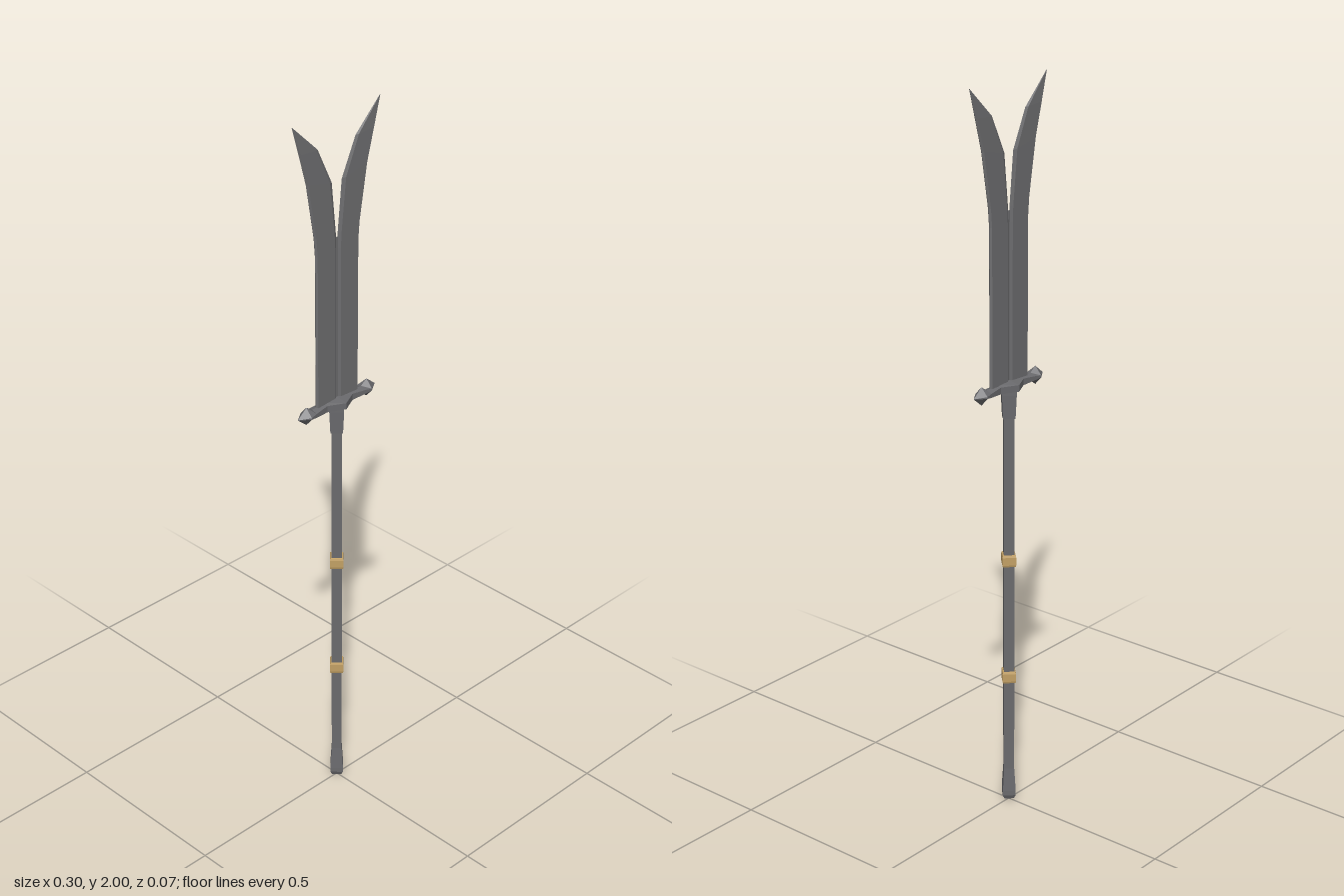
import * as THREE from 'three';

// Flat-shaded solid from rings of equal point count; ends are closed with fans.
function loft(rings) {
  const n = rings[0].length, pos = [];
  const tri = (a, b, c) => pos.push(...a, ...b, ...c);
  for (let i = 0; i < rings.length - 1; i++) {
    for (let j = 0; j < n; j++) {
      const k = (j + 1) % n;
      const a = rings[i][j], b = rings[i][k], c = rings[i + 1][k], d = rings[i + 1][j];
      tri(a, b, c);
      tri(a, c, d);
    }
  }
  const last = rings[rings.length - 1];
  for (let j = 1; j < n - 1; j++) {
    tri(rings[0][0], rings[0][j + 1], rings[0][j]);
    tri(last[0], last[j], last[j + 1]);
  }
  const g = new THREE.BufferGeometry();
  g.setAttribute('position', new THREE.Float32BufferAttribute(pos, 3));
  g.computeVertexNormals();
  return g;
}

export function createModel() {
  const steel = new THREE.MeshStandardMaterial({ color: 0x6e6e70 });
  steel.name = 'blade steel';
  const iron = new THREE.MeshStandardMaterial({ color: 0x6a6a6d });
  iron.name = 'dark iron';
  const brass = new THREE.MeshStandardMaterial({ color: 0xc2a064 });
  brass.name = 'brass';

  const model = new THREE.Group();
  model.name = 'polearm';
  const add = (name, geometry, material) => {
    const mesh = new THREE.Mesh(geometry, material);
    mesh.name = name;
    material.flatShading = true;
    model.add(mesh);
    return mesh;
  };
  // Square section with its corners on the x and z axes
  const fourSided = (profile) =>
    new THREE.LatheGeometry(profile.map(([r, y]) => new THREE.Vector2(r, y)), 4);

  // Split blade: inner x, inner y, outer x, outer y, half thickness
  const sections = [
    [0.001, 1.2, 0.074, 1.2, 0.005],
    [0.001, 1.64, 0.074, 1.64, 0.005],
    [0.003, 1.68, 0.078, 1.69, 0.005],
    [0.017, 1.82, 0.104, 1.84, 0.005],
    [0.064, 1.92, 0.127, 1.925, 0.004],
    [0.147, 2.0, 0.148, 2.0, 0.0004],
  ];
  for (const side of [1, -1]) {
    // Each ring turns counter-clockwise seen from above
    const rings = sections.map(([xi, yi, xo, yo, t]) => {
      const at = (f, z) => [side * (xi + (xo - xi) * f), yi + (yo - yi) * f, z];
      const ring = [at(0, 0), at(0.12, -t), at(0.95, -t), at(1, 0), at(0.95, t), at(0.12, t)];
      return side > 0 ? ring.reverse() : ring;
    });
    add(side > 0 ? 'leftBlade' : 'rightBlade', loft(rings), steel);
  }
  // Thin centre seam joining both blade halves
  const seam = add('bladeSeam', new THREE.BoxGeometry(0.006, 0.47, 0.002), steel);
  seam.position.y = 1.435;

  // Crossguard: x, half height, half depth, flatness of the sides
  const half = [
    [0.045, 0.013, 0.012, 0.7],
    [0.088, 0.011, 0.017, 0.5],
    [0.108, 0.025, 0.02, 0.1],
    [0.137, 0.001, 0.001, 0.1],
  ];
  const stations = [
    ...half.slice().reverse().map(([x, ...rest]) => [-x, ...rest]),
    [0, 0.015, 0.035, 0.6],
    ...half,
  ];
  const guardY = 1.207;
  add('crossguard', loft(stations.map(([x, h, d, s]) => [
    [x, guardY + h, 0], [x, guardY + h * s, d], [x, guardY - h * s, d],
    [x, guardY - h, 0], [x, guardY - h * s, -d], [x, guardY + h * s, -d],
  ])), iron);

  // Shaft, socket under the guard, and flared foot
  add('shaft', fourSided([[0.0195, 0.08], [0.0195, 1.14]]), iron);
  add('socket', fourSided([[0.019, 1.12], [0.023, 1.121], [0.027, 1.185], [0.027, 1.2], [0, 1.2]]), iron);
  add('foot', fourSided([[0, 0], [0.018, 0.006], [0.025, 0.018], [0.025, 0.032], [0.0195, 0.1]]), iron);

  // Brass bands
  for (const [name, y] of [['lowerBand', 0.378], ['upperBand', 0.72]]) {
    add(name, fourSided([
      [0.019, y - 0.017], [0.024, y - 0.016], [0.026, y - 0.011],
      [0.026, y + 0.011], [0.024, y + 0.016], [0.019, y + 0.017],
    ]), brass);
  }
  return model;
}
